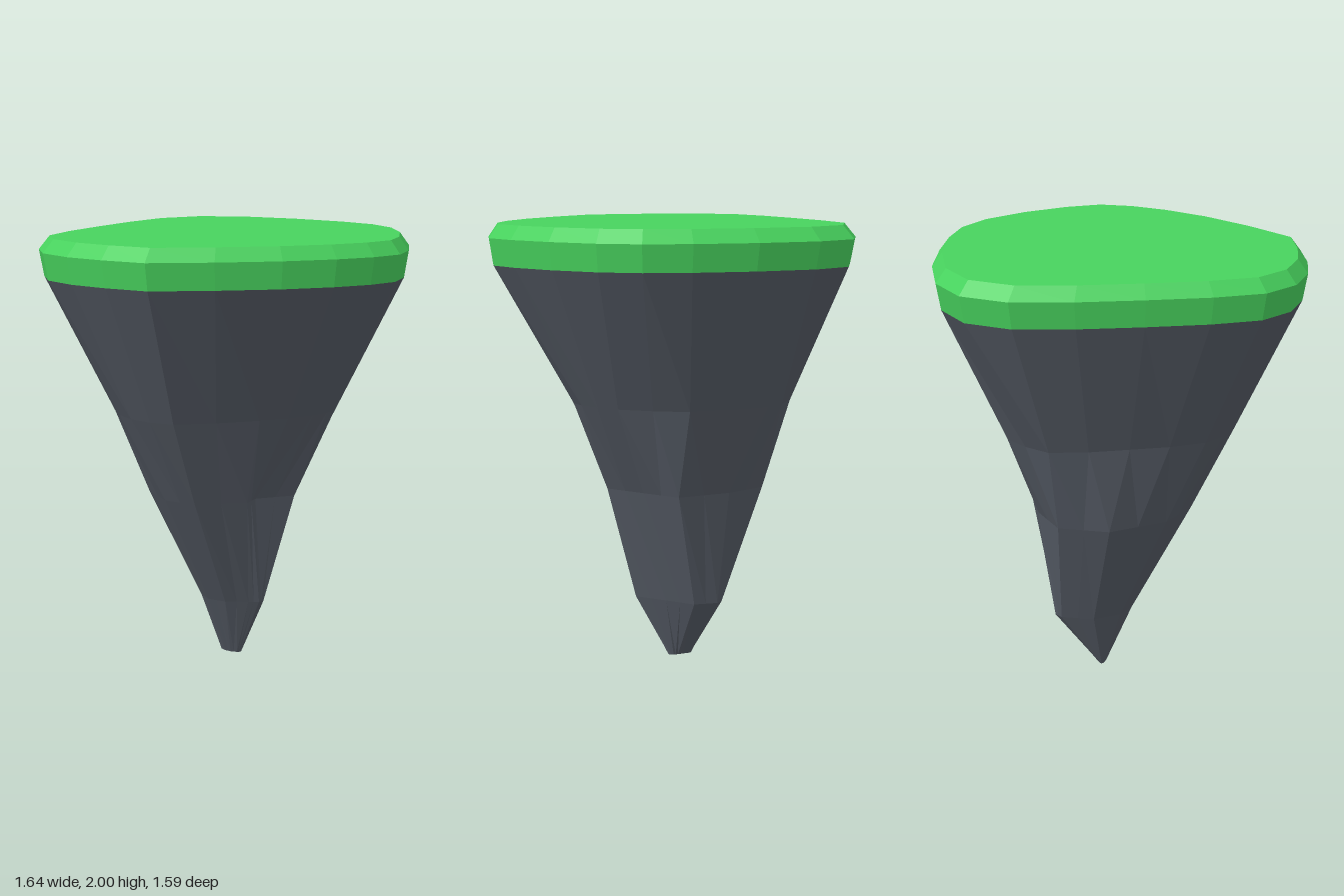
import * as THREE from 'three';

// Plan outline of the island, [x, z], back right round to the front and left
const OUTLINE = [
  [0.44, -0.8], [0.65, -0.71], [0.77, -0.51], [0.82, -0.22], [0.82, 0.07], [0.78, 0.28],
  [0.68, 0.45], [0.5, 0.61], [0.3, 0.73], [0.13, 0.79], [-0.03, 0.76], [-0.2, 0.68],
  [-0.4, 0.54], [-0.61, 0.34], [-0.8, 0.12], [-0.82, -0.1], [-0.81, -0.3], [-0.75, -0.49],
  [-0.62, -0.63], [-0.4, -0.7], [-0.12, -0.75], [0.17, -0.79],
];

const outlineRing = (y, s) => OUTLINE.map(([x, z]) => [x * s, y, z * s]);

// Cross-section given at every second column; the columns between are midpoints
function section(y, pts, bulge = 0) {
  const centre = [0.08, -0.08];
  return pts.flatMap(([x, z], i) => {
    const [u, v] = pts[(i + 1) % pts.length];
    const mx = (x + u) / 2, mz = (z + v) / 2;
    return [
      [x, y, z],
      [mx + (mx - centre[0]) * bulge, y, mz + (mz - centre[1]) * bulge],
    ];
  });
}

// Skin rings listed from top to bottom, with optional end caps
function loft(rings, capTop, capBottom) {
  const pos = [];
  const tri = (...corners) => corners.forEach((c) => pos.push(...c));
  const n = rings[0].length;
  for (let r = 0; r < rings.length - 1; r++) {
    const a = rings[r], b = rings[r + 1];
    for (let i = 0; i < n; i++) {
      const j = (i + 1) % n;
      tri(a[i], a[j], b[i]);
      tri(a[j], b[j], b[i]);
    }
  }
  const cap = (ring, up) => {
    const c = [0, 1, 2].map((k) => ring.reduce((sum, p) => sum + p[k], 0) / n);
    for (let i = 0; i < n; i++) {
      const j = (i + 1) % n;
      if (up) tri(c, ring[j], ring[i]);
      else tri(c, ring[i], ring[j]);
    }
  };
  if (capTop) cap(rings[0], true);
  if (capBottom) cap(rings[rings.length - 1], false);
  const geo = new THREE.BufferGeometry();
  geo.setAttribute('position', new THREE.Float32BufferAttribute(pos, 3));
  geo.computeVertexNormals();
  return geo;
}

function addMesh(group, name, geometry, color) {
  const mesh = new THREE.Mesh(geometry, new THREE.MeshStandardMaterial({ color, flatShading: true }));
  mesh.name = name;
  group.add(mesh);
}

export function createModel() {
  const island = new THREE.Group();
  island.name = 'floatingIsland';

  // Grass slab with a bevelled upper edge
  const grass = [outlineRing(2, 0.945), outlineRing(1.94, 1), outlineRing(1.82, 0.975)];
  addMesh(island, 'grassTop', loft(grass, true, false), 0x48d35e);

  // Rock tapering to an off-centre chipped tip
  const rock = [
    outlineRing(1.82, 0.975),
    section(1.2, [
      [0.3, -0.55], [0.49, -0.38], [0.55, 0.0], [0.39, 0.28], [0.22, 0.4], [0.04, 0.4],
      [-0.2, 0.28], [-0.5, 0.03], [-0.51, -0.2], [-0.38, -0.4], [-0.05, -0.5],
    ], 0.03),
    // Broad flat chip at the front left, with a shallow valley beside it
    section(0.8, [
      [0.27, -0.43], [0.37, -0.24], [0.42, 0.01], [0.27, 0.13], [0.11, 0.255], [-0.05, 0.15],
      [-0.14, 0.17], [-0.31, 0.0], [-0.32, -0.16], [-0.21, -0.34], [0.04, -0.47],
    ]),
    section(0.28, [
      [0.27, -0.24], [0.3, -0.21], [0.3, -0.1], [0.19, 0.0], [0.07, 0.11], [0.05, 0.1],
      [0.02, 0.06], [-0.04, -0.03], [-0.05, -0.12], [0.0, -0.2], [0.12, -0.26],
    ]),
    section(0, [
      [0.1, -0.14], [0.1, -0.13], [0.11, -0.08], [0.11, -0.06], [0.1, -0.04], [0.09, -0.04],
      [0.08, -0.05], [0.07, -0.08], [0.07, -0.11], [0.08, -0.14], [0.09, -0.15],
    ]),
  ];
  addMesh(island, 'rockBase', loft(rock, false, true), 0x555b65);

  return island;
}
